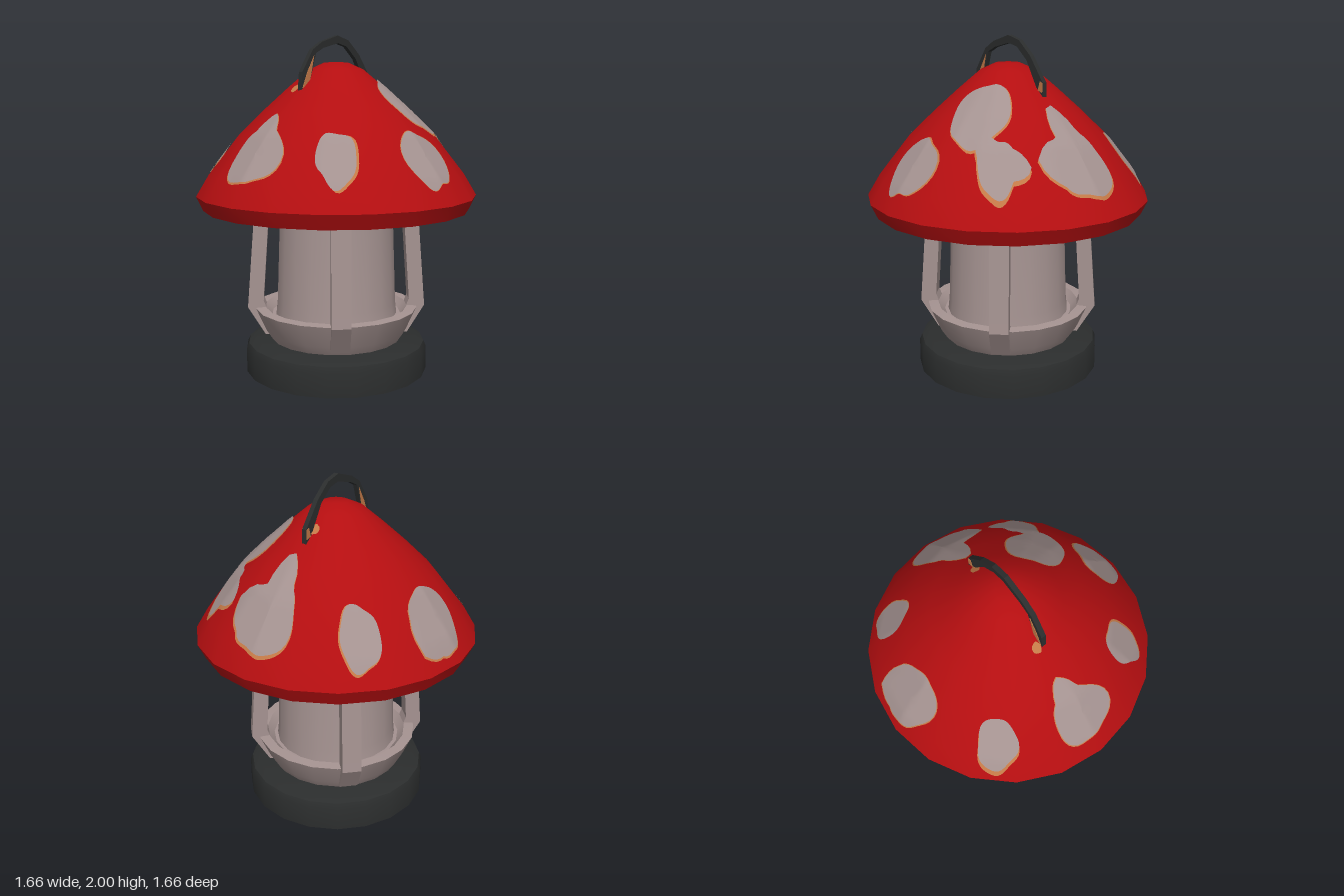
import * as THREE from 'three';
import { toCreasedNormals } from 'three/addons/utils/BufferGeometryUtils.js';

const SIDES = 20;
const mat = (name, color) => {
  const m = new THREE.MeshStandardMaterial({ color });
  m.name = name;
  return m;
};
const v2 = (pts) => pts.map(([x, y]) => new THREE.Vector2(x, y));

// Outer cap profile, from rim to crown
const CAP = [[0.83, 1.075], [0.755, 1.2], [0.575, 1.43], [0.43, 1.57], [0.285, 1.7], [0.16, 1.805], [0.07, 1.845], [0, 1.847]];

// Height of the faceted cap above a point of the ground plan
function capHeight(x, z) {
  const seg = (Math.PI * 2) / SIDES;
  const local = (((Math.atan2(x, z) % seg) + seg) % seg) - seg / 2;
  const r = (Math.hypot(x, z) * Math.cos(local)) / Math.cos(seg / 2);
  const i = Math.max(1, CAP.findIndex((p) => p[0] <= r));
  const [r0, y0] = CAP[i - 1], [r1, y1] = CAP[i];
  return y0 + ((y1 - y0) * (r0 - r)) / (r0 - r1);
}

// Wobbly ellipse with optional pointed corners, as a radius for each angle
function spotRadius({ rx, rz, tips = [] }, angle, seed) {
  const ellipse = (a) => 1 / Math.hypot(Math.cos(a) / rx, Math.sin(a) / rz);
  let r = ellipse(angle) * (1 + 0.06 * Math.sin(3 * angle + seed) + 0.04 * Math.sin(5 * angle + 2 * seed));
  for (const [tx, tz] of tips) {
    const tipAngle = Math.atan2(tz, tx);
    const away = Math.abs(Math.atan2(Math.sin(angle - tipAngle), Math.cos(angle - tipAngle)));
    r += (Math.hypot(tx, tz) - ellipse(tipAngle)) * Math.max(0, 1 - away / 0.6);
  }
  return r;
}

// Thin patch draped over the cap
function patchGeometry(spot, seed, x0, z0, scale, lift) {
  const rings = 6, m = 40, pos = [], idx = [];
  for (let j = 0; j <= rings; j++) {
    for (let i = 0; i < m; i++) {
      const angle = (i / m) * Math.PI * 2;
      const r = (spotRadius(spot, angle, seed) * scale * j) / rings;
      const x = x0 + r * Math.cos(angle), z = z0 + r * Math.sin(angle);
      pos.push(x, capHeight(x, z) + lift, z);
    }
  }
  for (let j = 0; j < rings; j++) {
    for (let i = 0; i < m; i++) {
      const a = j * m + i, b = j * m + ((i + 1) % m);
      if (j > 0) idx.push(a, b, a + m);
      idx.push(b, b + m, a + m);
    }
  }
  const g = new THREE.BufferGeometry();
  g.setAttribute('position', new THREE.Float32BufferAttribute(pos, 3));
  g.setIndex(idx);
  g.computeVertexNormals();
  return g;
}

// Spots in plan: centre, radii, corners from the centre, shift of the border
const SPOTS = [
  { x: 0.03, z: -0.67, rx: 0.17, rz: 0.12, tips: [[0.22, -0.07]], shift: [0, 0] },
  { x: -0.48, z: -0.47, rx: 0.11, rz: 0.11, shift: [-0.01, -0.01] },
  { x: 0.47, z: -0.48, rx: 0.105, rz: 0.11, shift: [0.005, 0.003] },
  { x: -0.64, z: -0.01, rx: 0.115, rz: 0.175, tips: [[0.2, -0.04]], shift: [0, 0] },
  { x: 0.63, z: 0, rx: 0.13, rz: 0.17, tips: [[-0.28, 0.02], [-0.08, 0.26]], shift: [0.005, 0] },
  { x: 0.19, z: 0.35, rx: 0.16, rz: 0.165, shift: [0.004, 0] },
  { x: 0.45, z: 0.44, rx: 0.11, rz: 0.1, tips: [[-0.17, -0.02], [0.11, -0.14]], shift: [0.008, 0.01] },
  { x: -0.48, z: 0.43, rx: 0.105, rz: 0.11, shift: [0.008, 0.008] },
  { x: -0.01, z: 0.66, rx: 0.165, rz: 0.11, shift: [0.005, -0.004] },
];

export function createModel() {
  const model = new THREE.Group();
  model.name = 'mushroomLantern';
  const red = mat('capRed', 0xb40e10);
  const grey = mat('paleGrey', 0xa59391);
  const dark = mat('charcoal', 0x2b2d2d);
  const orange = mat('orangeBrown', 0xc47a48);

  const add = (name, geometry, material, parent = model) => {
    const mesh = new THREE.Mesh(geometry, material);
    mesh.name = name;
    parent.add(mesh);
    return mesh;
  };
  const lathe = (pts) => toCreasedNormals(new THREE.LatheGeometry(v2(pts), SIDES), 0.6);
  const extrude = (pts, depth, z = 0) => {
    const g = new THREE.ExtrudeGeometry(new THREE.Shape(v2(pts)), { depth, bevelEnabled: false });
    return g.translate(0, 0, z - depth / 2);
  };

  // Base, bowl and inner column
  add('base', lathe([[0, 0], [0.55, 0], [0.55, 0.14], [0.535, 0.175], [0.49, 0.195], [0, 0.195]]), dark);
  add('bowl', lathe([[0.39, 0.19], [0.43, 0.25], [0.49, 0.385], [0.43, 0.39], [0.39, 0.345], [0, 0.345]]), grey);
  add('column', lathe([[0.37, 0.33], [0.36, 0.42], [0.33, 1.28]]), grey);

  // Four leaning posts on the diagonals
  const posts = new THREE.Group();
  posts.name = 'posts';
  model.add(posts);
  const postGeometry = extrude([[0.36, 0.22], [0.43, 0.22], [0.535, 0.39], [0.53, 0.45], [0.475, 1.16], [0.39, 1.16], [0.44, 0.43]], 0.11);
  for (let i = 0; i < 4; i++) {
    add('post', postGeometry, grey, posts).rotation.y = Math.PI / 4 + (i * Math.PI) / 2;
  }

  // Cap shell and its hollow underside
  add('cap', lathe([[0.72, 0.99], [0.79, 0.99], ...CAP]), red);
  add('capUnderside', lathe([[0, 1.34], [0.35, 1.27], [0.64, 1.11], [0.72, 0.99]]), orange);

  // Spots with narrow orange borders
  const spots = new THREE.Group();
  spots.name = 'spots';
  model.add(spots);
  SPOTS.forEach((spot, i) => {
    const { x, z, shift } = spot;
    add('spotBorder', patchGeometry(spot, i, x + shift[0], z + shift[1], 1.03, 0.006), orange, spots);
    add('spot', patchGeometry(spot, i, x, z, 1, 0.011), grey, spots);
  });

  // Carrying handle: a bent strip along an arch, thicker at the legs
  const arch = [[-0.275, 1.68], [-0.255, 1.775], [-0.19, 1.905], [-0.12, 1.943], [0.01, 1.978], [0.095, 1.957], [0.185, 1.882], [0.28, 1.742], [0.295, 1.67]];
  const half = [0.025, 0.037, 0.016, 0.018, 0.022, 0.02, 0.02, 0.03, 0.015];
  const side = (sign) => arch.map(([x, y], i) => {
    const [ax, ay] = arch[Math.max(0, i - 1)], [bx, by] = arch[Math.min(arch.length - 1, i + 1)];
    const k = (sign * half[i]) / Math.hypot(bx - ax, by - ay);
    return [x - (by - ay) * k, y + (bx - ax) * k];
  });
  add('handle', extrude([...side(-1), ...side(1).reverse()], 0.028, -0.008), dark);

  // Worn orange plates on the handle legs and small pads where they meet the cap
  add('leftLegWear', extrude([[0.27, 1.71], [0.305, 1.7], [0.305, 1.755], [0.285, 1.76]], 0.034, -0.008), orange);
  add('rightLegWear', extrude([[-0.29, 1.7], [-0.25, 1.69], [-0.225, 1.76], [-0.195, 1.88], [-0.25, 1.79]], 0.034, -0.008), orange);
  for (const [x, z] of [[-0.29, -0.05], [0.24, -0.03]]) {
    add('handlePad', patchGeometry({ rx: 0.025, rz: 0.025 }, 0, x, z, 1, 0.009), orange);
  }

  return model;
}
